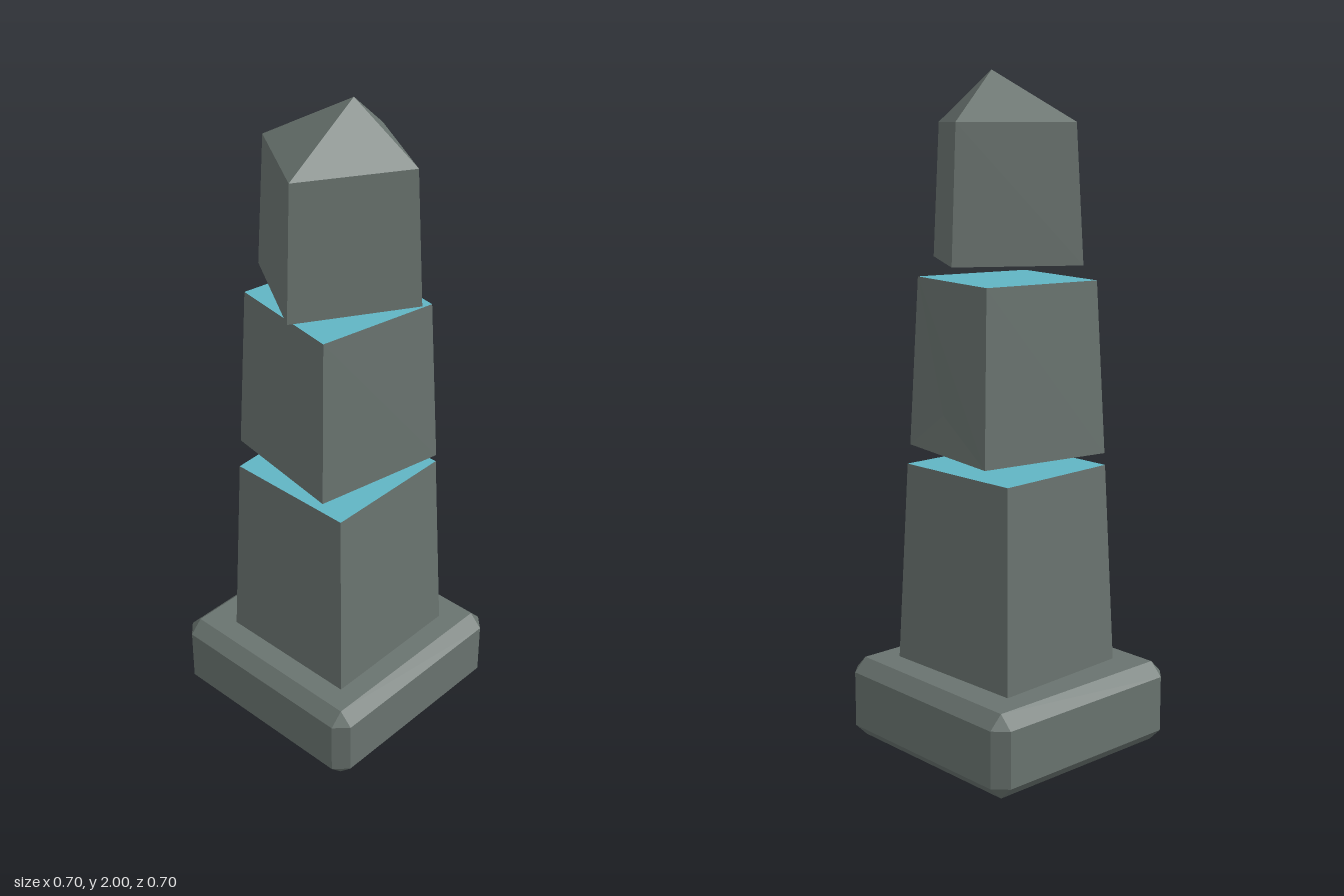
import * as THREE from 'three';
import { ConvexGeometry } from 'three/addons/geometries/ConvexGeometry.js';

const stone = new THREE.MeshStandardMaterial({ color: 0x69736f });
stone.name = 'grey stone';
const glow = new THREE.MeshStandardMaterial({ color: 0x60b4c3 });
glow.name = 'cyan cut face';

// Flat-shaded mesh from a list of triangles
function facetMesh(name, triangles, material) {
  const geometry = new THREE.BufferGeometry().setFromPoints(triangles.flat());
  geometry.computeVertexNormals();
  const mesh = new THREE.Mesh(geometry, material);
  mesh.name = name;
  return mesh;
}

// Tapered block. Corners are [x, z]: back left, back right, front right, front left as seen from above.
function taperedBlock({ name, y, lower, upper, cutTop, cutBottom, apex, dent }) {
  const group = new THREE.Group();
  group.name = name;
  const b = lower.map(([x, z]) => new THREE.Vector3(x, y[0], z));
  const t = upper.map(([x, z]) => new THREE.Vector3(x, y[1], z));
  const sides = [];
  for (let i = 0; i < 4; i++) {
    const j = (i + 1) % 4;
    sides.push([b[i], t[i], t[j]]);
    if (i === 0 && dent) {
      // shallow chip low on the back face
      const p = new THREE.Vector3(...dent);
      sides.push([b[i], t[j], p], [t[j], b[j], p], [b[j], b[i], p]);
    } else sides.push([b[i], t[j], b[j]]);
    if (apex) sides.push([t[i], new THREE.Vector3(...apex), t[j]]);
  }
  group.add(facetMesh(name + 'Sides', sides, stone));
  if (cutTop) group.add(facetMesh(name + 'TopCut', [[t[0], t[3], t[2]], [t[0], t[2], t[1]]], glow));
  if (cutBottom) group.add(facetMesh(name + 'BottomCut', [[b[0], b[1], b[2]], [b[0], b[2], b[3]]], glow));
  return group;
}

// Plinth with chamfered edges and corners
function plinth(half, height, bevel) {
  const points = [];
  for (const sx of [-1, 1]) for (const sy of [-1, 1]) for (const sz of [-1, 1])
    for (let axis = 0; axis < 3; axis++) {
      const size = [half, height / 2, half].map((s, i) => (i === axis ? s : s - bevel));
      points.push(new THREE.Vector3(sx * size[0], sy * size[1] + height / 2, sz * size[2]));
    }
  const mesh = new THREE.Mesh(new ConvexGeometry(points), stone);
  mesh.name = 'plinth';
  return mesh;
}

export function createModel() {
  const model = new THREE.Group();
  model.name = 'floatingObelisk';
  model.add(
    plinth(0.348, 0.25, 0.04),
    taperedBlock({
      name: 'lowerBlock', y: [0.25, 0.855], cutTop: true,
      lower: [[-0.235, -0.216], [0.241, -0.228], [0.244, 0.239], [-0.213, 0.239]],
      upper: [[-0.211, -0.194], [0.218, -0.205], [0.22, 0.216], [-0.192, 0.216]],
    }),
    taperedBlock({
      name: 'middleBlock', y: [0.905, 1.41], cutTop: true, cutBottom: true,
      lower: [[-0.171, -0.243], [0.244, -0.173], [0.168, 0.235], [-0.235, 0.168]],
      upper: [[-0.154, -0.22], [0.22, -0.156], [0.153, 0.213], [-0.213, 0.151]],
      dent: [0.07, 1.02, -0.189],
    }),
    taperedBlock({
      name: 'topBlock', y: [1.46, 1.855], cutBottom: true, apex: [0.035, 2, -0.03],
      lower: [[-0.041, -0.248], [0.267, -0.056], [0.072, 0.267], [-0.243, 0.065]],
      upper: [[-0.036, -0.226], [0.244, -0.051], [0.065, 0.244], [-0.218, 0.059]],
    }),
  );
  return model;
}
